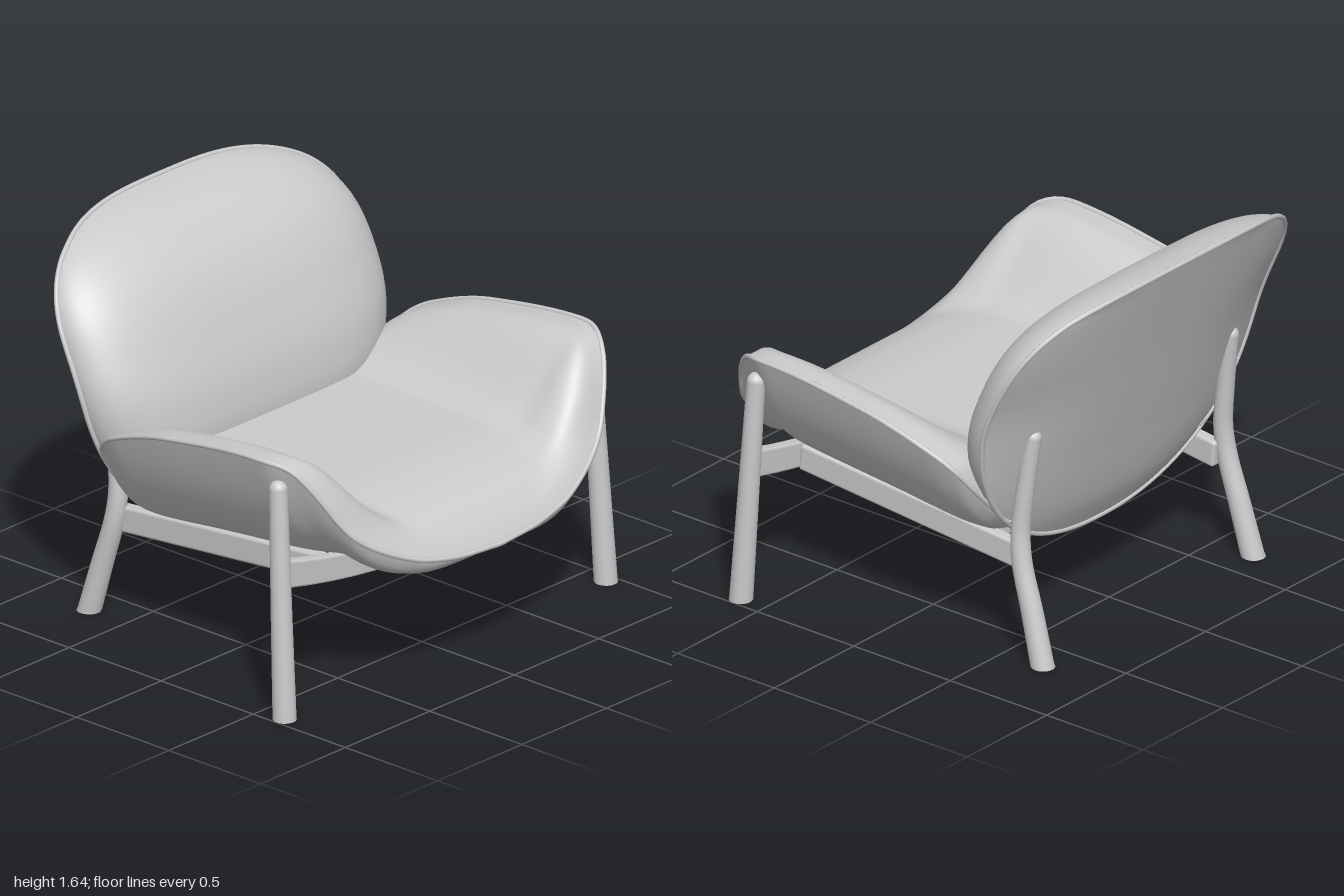
import * as THREE from 'three';
import { RoundedBoxGeometry } from 'three/addons/geometries/RoundedBoxGeometry.js';

const V = (x, y, z) => new THREE.Vector3(x, y, z);
const { lerp, clamp, smoothstep } = THREE.MathUtils;

// Smooth monotone curve through [t, value] pairs with rising t
function profile(...p) {
  const s = p.slice(1).map((q, i) => (q[1] - p[i][1]) / (q[0] - p[i][0]));
  const m = p.map((_, i) => {
    if (i === 0) return s[0];
    if (i === p.length - 1) return s[i - 1];
    return s[i - 1] * s[i] <= 0 ? 0 : (2 * s[i - 1] * s[i]) / (s[i - 1] + s[i]);
  });
  return (t) => {
    t = clamp(t, p[0][0], p[p.length - 1][0]);
    let i = 0;
    while (i < s.length - 1 && t > p[i + 1][0]) i++;
    const h = p[i + 1][0] - p[i][0], k = (t - p[i][0]) / h;
    const k2 = k * k, k3 = k2 * k;
    return (2 * k3 - 3 * k2 + 1) * p[i][1] + (k3 - 2 * k2 + k) * h * m[i]
      + (3 * k2 - 2 * k3) * p[i + 1][1] + (k3 - k2) * h * m[i + 1];
  };
}

// Surface from f(u, v); the front face points along du x dv unless flipped
function surface(nu, nv, f, flip) {
  const pos = [], idx = [], w = nu + 1;
  for (let j = 0; j <= nv; j++)
    for (let i = 0; i <= nu; i++) pos.push(...f(i / nu, j / nv));
  for (let j = 0; j < nv; j++)
    for (let i = 0; i < nu; i++) {
      const a = j * w + i, b = a + 1, c = a + w, d = c + 1;
      if (flip) idx.push(a, c, b, b, c, d);
      else idx.push(a, b, c, b, d, c);
    }
  const g = new THREE.BufferGeometry();
  g.setAttribute('position', new THREE.Float32BufferAttribute(pos, 3));
  g.setIndex(idx);
  g.computeVertexNormals();
  return g;
}

// Backrest: half width, rim depth, and centre depths of cushion and shell by height
const MID = 1.15, HALF = 0.87;
const shapeAt = (up) => (up ? [3, 0.478] : [2.2, 0.8]);
function halfWidth(y) {
  const [n, b] = shapeAt(y > MID);
  return HALF * Math.pow(Math.max(0, 1 - Math.pow(Math.abs(y - MID) / b, n)), 1 / n);
}
const backRim = profile([0.35, -0.45], [0.6, -0.49], [1, -0.55], [1.35, -0.7], [1.54, -0.82], [1.6, -0.885], [1.628, -0.92]);
const backFront = profile([0.35, -0.45], [0.45, -0.36], [0.8, -0.28], [0.95, -0.3], [1.22, -0.4], [1.4, -0.505], [1.53, -0.64], [1.59, -0.75], [1.615, -0.83], [1.628, -0.92]);
const backRear = profile([0.35, -0.45], [0.5, -0.53], [0.8, -0.635], [1.2, -0.77], [1.628, -0.92]);
const cushionEdge = (u) => 1 - Math.sqrt(1 - Math.pow(u, 4));
const shellEdge = (u) => Math.pow(u, 2.6);
function backPoint(r, a, centre, edge) {
  const c = Math.cos(a), s = Math.sin(a), [n, b] = shapeAt(s > 0);
  const rho = r * Math.pow(Math.pow(Math.abs(c) / HALF, n) + Math.pow(Math.abs(s) / b, n), -1 / n);
  const x = rho * c, y = MID + rho * s;
  const u = r > 0.9999 ? 1 : Math.min(1, Math.abs(x) / Math.max(halfWidth(y), 1e-4));
  return [x, y, lerp(centre(y), backRim(y), edge(u))];
}

// Seat: rim width and height, and centre heights of top and underside by depth
const seatW = profile([-0.485, 0.62], [-0.47, 0.8], [-0.42, 0.89], [-0.3, 0.935], [0, 0.96], [0.5, 0.965], [0.65, 0.9], [0.78, 0.75], [0.88, 0.48], [0.915, 0.24], [0.925, 0]);
const seatH = profile([-0.485, 0.56], [-0.47, 0.75], [-0.42, 0.87], [-0.3, 0.95], [0, 1.04], [0.5, 1.095], [0.6, 1.08], [0.66, 1.03], [0.72, 0.93], [0.78, 0.79], [0.88, 0.62], [0.925, 0.55]);
const seatTop = profile([-0.485, 0.56], [-0.45, 0.7], [-0.35, 0.79], [0.4, 0.785], [0.6, 0.765], [0.75, 0.72], [0.85, 0.65], [0.9, 0.59], [0.925, 0.55]);
const seatBase = profile([-0.485, 0.53], [-0.4, 0.46], [0, 0.5], [0.4, 0.54], [0.65, 0.57], [0.75, 0.53], [0.85, 0.51], [0.925, 0.55]);
const seatZ = (v) => 0.22 - 0.705 * Math.cos(Math.PI * v);
function seatPoint(u, v, top) {
  const s = Math.sin((u - 0.5) * Math.PI), z = seatZ(v), a = Math.abs(s);
  const y = top ? lerp(seatTop(z), seatH(z), smoothstep(a, 0.47, 0.91))
    : lerp(seatBase(z), seatH(z), Math.pow(a, 6));
  return [s * seatW(z), y, z];
}

export function createModel() {
  const root = new THREE.Group();
  const mat = new THREE.MeshStandardMaterial({ color: 0xcccccc });
  const thin = new THREE.MeshStandardMaterial({ color: 0xcccccc, side: THREE.DoubleSide });
  const add = (name, geo, parent = root, m = mat) => {
    const mesh = new THREE.Mesh(geo, m);
    mesh.name = name;
    parent.add(mesh);
    return mesh;
  };
  const piping = (name, pts, parent) =>
    add(name, new THREE.TubeGeometry(new THREE.CatmullRomCurve3(pts, true), 200, 0.011, 8, true), parent);

  // Backrest: puffed cushion in front, curved shell behind, piping between
  const back = new THREE.Group();
  back.name = 'backrest';
  root.add(back);
  const backSide = (centre, edge, flip) =>
    surface(36, 120, (u, v) => backPoint(Math.sin((u * Math.PI) / 2), v * 2 * Math.PI, centre, edge), flip);
  add('backCushion', backSide(backFront, cushionEdge, false), back, thin);
  add('backShell', backSide(backRear, shellEdge, true), back, thin);
  const backEdge = [];
  for (let i = 0; i < 80; i++) backEdge.push(V(...backPoint(1, (i / 80) * 2 * Math.PI, backFront, cushionEdge)));
  piping('backPiping', backEdge, back);

  // Seat: cushion with raised side wings, rounded underside, piping between
  const seat = new THREE.Group();
  seat.name = 'seat';
  root.add(seat);
  add('seatCushion', surface(72, 72, (u, v) => seatPoint(u, v, true), true), seat, thin);
  add('seatShell', surface(72, 72, (u, v) => seatPoint(u, v, false)), seat, thin);
  const seatEdge = [];
  for (let i = 0; i <= 40; i++) seatEdge.push(V(...seatPoint(1, i / 40, true)));
  for (let i = 39; i >= 0; i--) seatEdge.push(V(...seatPoint(0, i / 40, true)));
  piping('seatPiping', seatEdge, seat);

  // Tapered round leg along a path, with a domed top and a foot cut flat at the floor
  function leg(name, pts, r0, r1) {
    const g = new THREE.Group(), n = 40, sides = 20;
    g.name = name;
    root.add(g);
    const path = new THREE.CatmullRomCurve3(pts);
    const geo = new THREE.TubeGeometry(path, n, 1, sides, false);
    const p = geo.attributes.position, q = V(0, 0, 0);
    for (let i = 0; i < p.count; i++) {
      const t = Math.floor(i / (sides + 1)) / n, c = path.getPointAt(t);
      q.fromBufferAttribute(p, i).sub(c).multiplyScalar(lerp(r0, r1, t)).add(c);
      p.setXYZ(i, q.x, Math.max(0, q.y), q.z);
    }
    add('legShaft', geo, g);
    add('legTip', new THREE.SphereGeometry(r1, 20, 12), g).position.copy(pts[pts.length - 1]);
    const foot = add('legFoot', new THREE.CircleGeometry(r0, 20).rotateX(Math.PI / 2), g);
    foot.position.copy(pts[0]).setY(0);
  }

  for (const [side, k] of [['left', 1], ['right', -1]]) {
    leg(side + 'FrontLeg', [V(k * 0.951, -0.02, 0.626), V(k * 0.938, 0.5, 0.595), V(k * 0.925, 0.975, 0.568)], 0.049, 0.038);
    leg(side + 'BackLeg', [V(k * 0.662, -0.02, -0.705), V(k * 0.652, 0.22, -0.638), V(k * 0.645, 0.42, -0.58),
      V(k * 0.637, 0.55, -0.566), V(k * 0.63, 0.72, -0.582), V(k * 0.62, 0.975, -0.618)], 0.049, 0.034);
    // Side rail sloping down to the back leg
    const a = V(k * 0.64, 0.545, 0.56), b = V(k * 0.61, 0.428, -0.56);
    const rail = add(side + 'Rail', new RoundedBoxGeometry(0.055, 0.115, a.distanceTo(b), 3, 0.014));
    rail.position.copy(a).add(b).multiplyScalar(0.5);
    rail.lookAt(a);
  }

  // Sagging crossbars joining the two sides
  function crossbar(name, half, endY, midY, h, z, depth) {
    const s = new THREE.Shape(), bevel = 0.01;
    s.moveTo(-half, endY);
    s.quadraticCurveTo(0, 2 * midY - endY, half, endY);
    s.lineTo(half, endY + h);
    s.quadraticCurveTo(0, 2 * midY - endY + h * 0.8, -half, endY + h);
    const geo = new THREE.ExtrudeGeometry(s, {
      depth: depth - 2 * bevel, bevelSize: bevel, bevelThickness: bevel, bevelOffset: -bevel, bevelSegments: 3, curveSegments: 32,
    });
    add(name, geo).position.z = z - depth / 2 + bevel;
  }
  crossbar('frontCrossbar', 0.92, 0.55, 0.44, 0.12, 0.58, 0.05);
  crossbar('rearCrossbar', 0.62, 0.4, 0.343, 0.08, -0.285, 0.045);

  return root;
}
